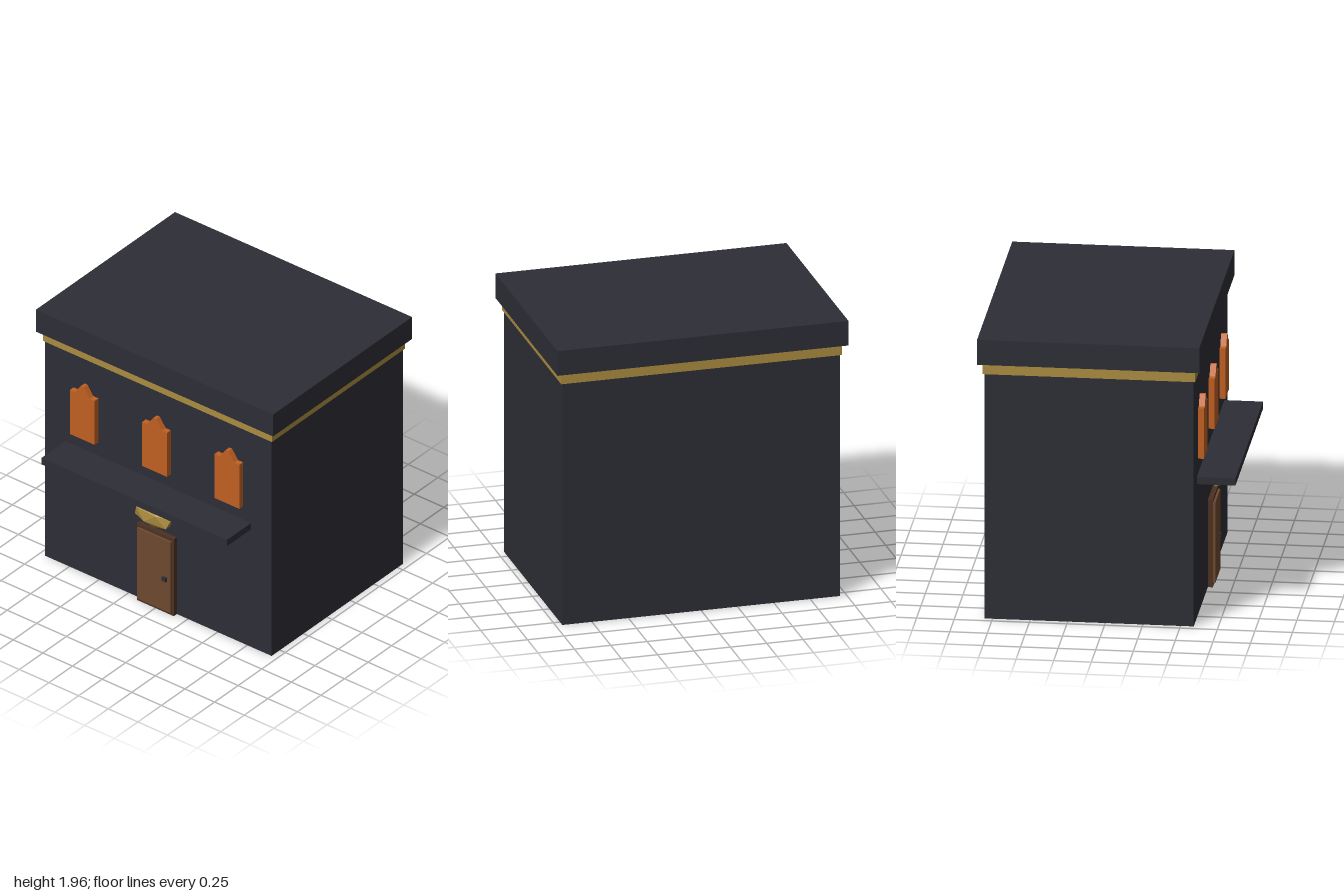
import * as THREE from 'three';
import { ConvexGeometry } from 'three/addons/geometries/ConvexGeometry.js';

const mat = (name, color) => {
  const m = new THREE.MeshStandardMaterial({ color });
  m.name = name;
  return m;
};

export function createModel() {
  const slate = mat('slate', 0x2d2d36);
  const gold = mat('gold', 0xaa8c40);
  const orange = mat('orange glass', 0xc06022);
  const wood = mat('door wood', 0x6d4a2f);
  const darkWood = mat('frame wood', 0x4c3122);

  const building = new THREE.Group();
  building.name = 'building';

  const add = (name, geometry, material, parent = building) => {
    const mesh = new THREE.Mesh(geometry, material);
    mesh.name = name;
    parent.add(mesh);
    return mesh;
  };
  // Box given by its limits on each axis
  const box = (name, material, [x0, x1], [y0, y1], [z0, z1], parent) => {
    const mesh = add(name, new THREE.BoxGeometry(x1 - x0, y1 - y0, z1 - z0), material, parent);
    mesh.position.set((x0 + x1) / 2, (y0 + y1) / 2, (z0 + z1) / 2);
    return mesh;
  };

  // Main block, trim band and the roof slab floating just above it
  box('walls', slate, [-0.955, 0.955], [0, 1.71], [-0.805, 0.588]);
  box('trimBand', gold, [-0.965, 0.965], [1.71, 1.775], [-0.815, 0.598]);
  box('roofSlab', slate, [-1, 1], [1.786, 1.96], [-0.848, 0.63]);
  box('ledge', slate, [-0.782, 0.782], [0.935, 0.985], [0.57, 0.845]);

  // Door with frame and handle
  const door = new THREE.Group();
  door.name = 'door';
  building.add(door);
  box('doorFrame', darkWood, [-0.156, 0.156], [0, 0.61], [0.57, 0.621], door);
  box('doorPanel', wood, [-0.142, 0.142], [0.025, 0.587], [0.6, 0.636], door);
  box('doorHandle', slate, [0.076, 0.109], [0.262, 0.295], [0.62, 0.648], door);

  // Three windows with peaked tops
  const outline = new THREE.Shape([
    [-0.105, 1.09], [0.105, 1.09], [0.105, 1.44], [0.062, 1.44],
    [0.012, 1.51], [-0.012, 1.51], [-0.062, 1.44], [-0.105, 1.44],
  ].map(([x, y]) => new THREE.Vector2(x, y)));
  const windowGeometry = new THREE.ExtrudeGeometry(outline, { depth: 0.048, bevelEnabled: false });
  for (const x of [-0.61, 0, 0.61]) {
    add('window', windowGeometry, orange).position.set(x, 0, 0.58);
  }

  // Faceted emblem above the door: a stretched icosahedron standing on a corner
  const points = [new THREE.Vector3(0, 1, 0), new THREE.Vector3(0, -1, 0)];
  for (let i = 0; i < 10; i++) {
    const a = (i * Math.PI) / 5;
    points.push(new THREE.Vector3(0.8944 * Math.cos(a), i % 2 ? -0.4472 : 0.4472, 0.8944 * Math.sin(a)));
  }
  const emblemGeometry = new ConvexGeometry(points);
  emblemGeometry.scale(0.173, 0.085, 0.049);
  add('emblem', emblemGeometry, gold).position.set(0, 0.74, 0.642);

  return building;
}
